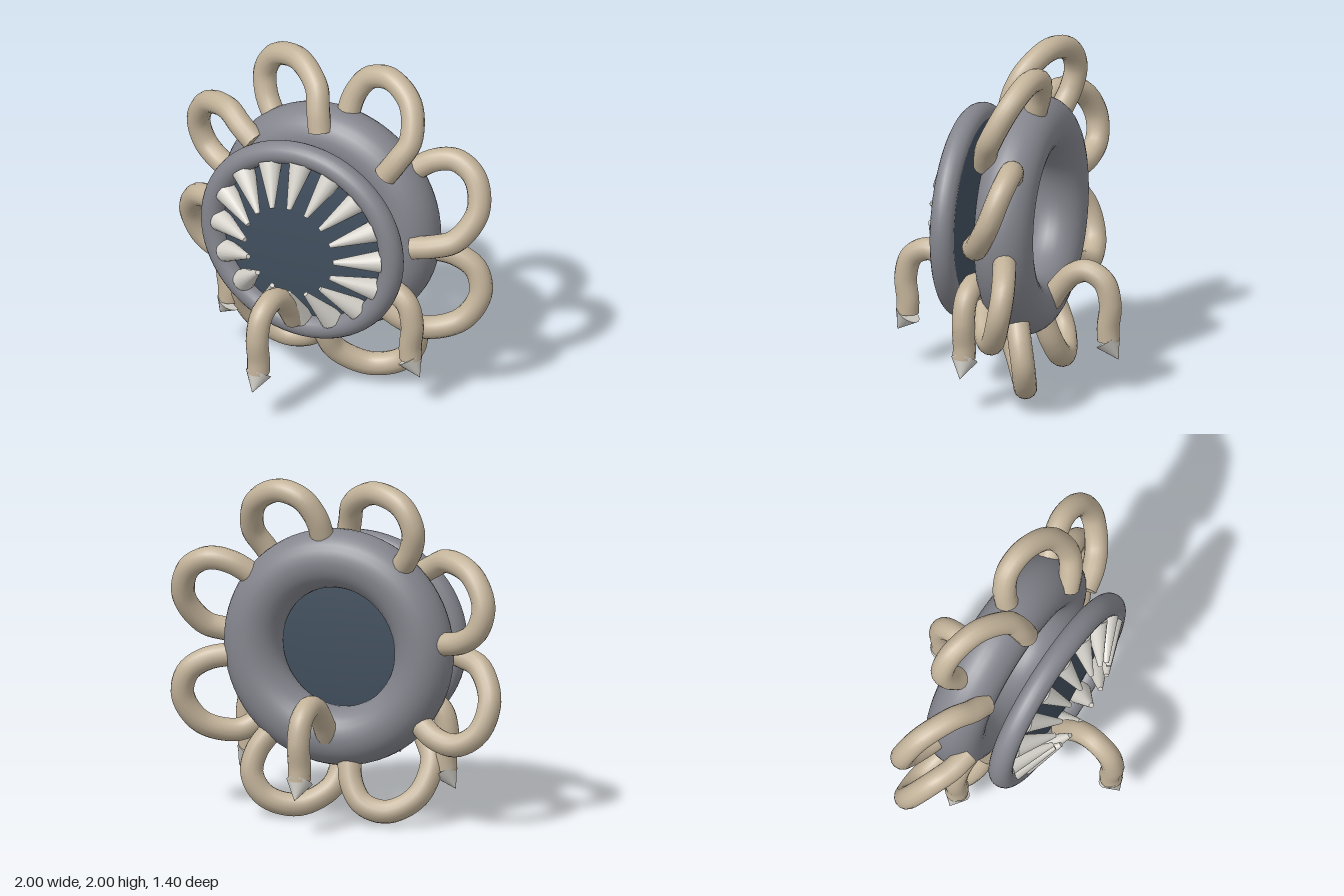
import * as THREE from 'three';

const mat = (name, color) => {
  const m = new THREE.MeshStandardMaterial({ color });
  m.name = name;
  return m;
};

export function createModel() {
  const tan = mat('tentacle tan', 0xc2b299);
  const grey = mat('body grey', 0x84858d);
  const slate = mat('mouth slate', 0x414f5e);
  const bone = mat('tooth bone', 0xd5d2cb);

  const model = new THREE.Group();
  model.name = 'ringCreature';
  const add = (parent, name, geo, material) => {
    const mesh = new THREE.Mesh(geo, material);
    mesh.name = name;
    parent.add(mesh);
    return mesh;
  };
  const zAxis = new THREE.Vector3(0, 0, 1);
  const yAxis = new THREE.Vector3(0, 1, 0);

  // Tube through points, with flat caps on both ends
  const tentacle = (parent, name, points, radius) => {
    const curve = new THREE.CatmullRomCurve3(points);
    add(parent, name, new THREE.TubeGeometry(curve, 40, radius, 14), tan);
    for (const t of [0, 1]) {
      const cap = add(parent, name + 'End', new THREE.CircleGeometry(radius, 14), tan);
      cap.position.copy(curve.getPoint(t));
      cap.quaternion.setFromUnitVectors(zAxis, curve.getTangent(t).multiplyScalar(t ? 1 : -1));
    }
  };

  // Cone placed by its base centre and tip, optionally blunt
  const spike = (parent, name, base, tip, radius, tipRadius) => {
    const dir = tip.clone().sub(base);
    const cone = add(parent, name, new THREE.CylinderGeometry(tipRadius, radius, dir.length(), 16), bone);
    cone.position.copy(base).add(tip).multiplyScalar(0.5);
    cone.quaternion.setFromUnitVectors(yAxis, dir.normalize());
  };

  // Thick rear ring
  const body = add(model, 'rearRing', new THREE.TorusGeometry(0.52, 0.17, 28, 72), grey);
  body.position.set(0, 1.01, -0.14);

  // Mouth: slightly flattened rim, domed disc and a circle of teeth
  const mouth = new THREE.Group();
  mouth.name = 'mouth';
  mouth.position.set(0, 1.005, 0);
  mouth.scale.set(1, 0.95, 1);
  model.add(mouth);
  add(mouth, 'mouthRim', new THREE.TorusGeometry(0.58, 0.07, 20, 72), grey).position.z = 0.21;
  const disc = add(mouth, 'mouthDisc', new THREE.SphereGeometry(0.62, 48, 24), slate);
  disc.position.z = 0.17;
  disc.scale.z = 0.07 / 0.62;
  for (let i = 0; i < 16; i++) {
    const a = (i / 16) * Math.PI * 2;
    const at = (r, z) => new THREE.Vector3(r * Math.cos(a), r * Math.sin(a), z);
    spike(mouth, 'tooth', at(0.52, 0.23), at(0.285, 0.372), 0.068, 0.014);
  }

  // Eight loops: [angle in degrees, radius, z], from front foot to rear foot
  const loop = [
    [0, 0.6, 0.0], [2, 0.72, -0.025], [4.5, 0.84, -0.08], [14, 0.96, -0.175],
    [25, 0.975, -0.235], [33, 0.9, -0.25], [37, 0.78, -0.225], [38, 0.63, -0.18],
  ];
  for (let i = 0; i < 8; i++) {
    const points = loop.map(([deg, r, z]) => {
      const a = THREE.MathUtils.degToRad(deg + i * 45);
      return new THREE.Vector3(r * Math.cos(a), 1.005 + r * Math.sin(a), z);
    });
    tentacle(model, 'loopTentacle', points, 0.068);
  }

  // Four clawed legs: [outward distance, height]
  const leg = [
    [0.26, 0.51], [0.33, 0.615], [0.41, 0.698], [0.5, 0.725],
    [0.6, 0.67], [0.638, 0.54], [0.624, 0.4], [0.627, 0.325],
  ];
  ['frontLeg', 'leftLeg', 'backLeg', 'rightLeg'].forEach((name, i) => {
    const g = new THREE.Group();
    g.name = name;
    g.rotation.y = (i * Math.PI) / 2 - 0.1;
    model.add(g);
    tentacle(g, 'legTentacle', leg.map(([r, y]) => new THREE.Vector3(0, y, r)), 0.066);
    spike(g, 'claw', new THREE.Vector3(0, 0.318, 0.624), new THREE.Vector3(0, 0.216, 0.69), 0.077, 0);
  });

  return model;
}
